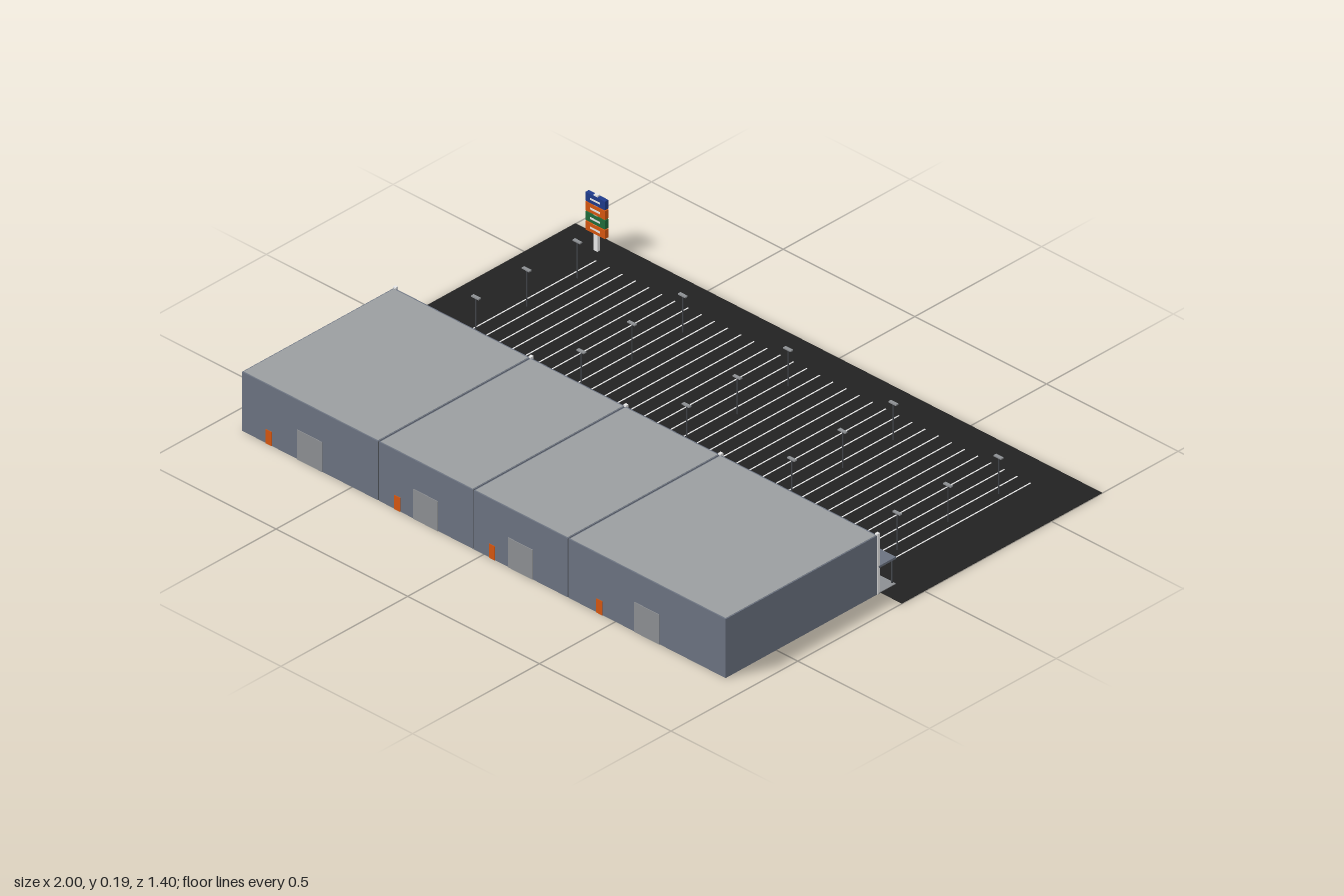
import * as THREE from 'three';

const colour = (name, hex) => {
  const m = new THREE.MeshStandardMaterial({ color: hex });
  m.name = name;
  return m;
};

export function createModel() {
  const wall = colour('slate wall', 0x6b7280);
  const roof = colour('roof grey', 0x9a9ea0);
  const asphalt = colour('asphalt', 0x222222);
  const white = colour('white', 0xeeeeee);
  const glass = colour('glass', 0xa8c8d0);
  const orange = colour('orange', 0xd4560f);
  const green = colour('green', 0x1f6b3a);
  const blue = colour('blue', 0x1e3a8a);
  const metal = colour('dark metal', 0x44474c);
  const concrete = colour('concrete', 0x8c8f92);

  const root = new THREE.Group();
  root.name = 'retailPark';

  // box given by its extents along each axis
  const box = (name, mat, x0, x1, y0, y1, z0, z1, parent = root) => {
    const m = new THREE.Mesh(new THREE.BoxGeometry(x1 - x0, y1 - y0, z1 - z0), mat);
    m.position.set((x0 + x1) / 2, (y0 + y1) / 2, (z0 + z1) / 2);
    m.name = name;
    parent.add(m);
    return m;
  };
  const group = (name) => {
    const g = new THREE.Group();
    g.name = name;
    root.add(g);
    return g;
  };

  // car park with bay lines
  box('carPark', asphalt, -1, 1, 0.0005, 0.002, -0.7, 0.09);
  const lines = group('bayLines');
  for (let i = 0; i < 34; i++) {
    const x = -0.825 + i * 0.05;
    box('bayLine', white, x - 0.002, x + 0.002, 0.002, 0.003, -0.6, -0.01, lines);
  }
  box('pavement', concrete, -0.92, 0.92, 0, 0.004, 0.03, 0.1);

  // four shop units, each with its own sign colour
  const edges = [-0.92, -0.4, -0.04, 0.32, 0.92];
  const signColours = [blue, orange, green, orange];
  signColours.forEach((signMat, i) => {
    const g = group('shopUnit');
    const a = edges[i], b = edges[i + 1], w = b - a, c = (a + b) / 2;
    box('walls', wall, a + 0.0015, b - 0.0015, 0, 0.19, 0.1, 0.7, g);
    box('roofPanel', roof, a + 0.005, b - 0.005, 0.19, 0.191, 0.105, 0.696, g);

    // sign board with a row of plain blocks
    box('signBoard', signMat, c - w * 0.385, c + w * 0.385, 0.107, 0.167, 0.09, 0.1, g);
    const count = Math.round(w * 0.48 / 0.026);
    for (let k = 0; k < count; k++) {
      const x = c + (k - (count - 1) / 2) * 0.026;
      box('signBlock', white, x - 0.01, x + 0.01, 0.128, 0.146, 0.087, 0.09, g);
    }

    // glazed shopfront and entrance
    const panes = Math.round(w / 0.09), step = w * 0.92 / panes;
    for (let k = 0; k < panes; k++) {
      const x = c + (k - (panes - 1) / 2) * step;
      const entrance = k === Math.floor(panes / 2);
      if (entrance) box('entranceFrame', orange, x - step * 0.42, x + step * 0.42, 0.004, 0.072, 0.095, 0.1, g);
      box('window', glass, x - step * 0.36, x + step * 0.36, entrance ? 0.004 : 0.012, 0.067, 0.092, 0.1, g);
    }

    // rear loading door and staff door
    box('loadingDoor', concrete, c - 0.047, c + 0.047, 0, 0.096, 0.7, 0.702, g);
    const d = c - 0.3 * w;
    box('staffDoor', orange, d - 0.011, d + 0.011, 0, 0.045, 0.7, 0.702, g);
  });

  // seams and pilasters at the unit boundaries
  edges.forEach((e, i) => {
    const x = i === 0 ? e + 0.005 : i === 4 ? e - 0.005 : e;
    box('pilaster', white, x - 0.005, x + 0.005, 0, 0.195, 0.093, 0.103);
    if (i > 0 && i < 4) box('seam', metal, e - 0.0015, e + 0.0015, 0.002, 0.189, 0.103, 0.6995);
  });

  // canopy on slim posts
  box('canopy', wall, -0.92, 0.92, 0.083, 0.09, 0.03, 0.1);
  for (let i = 0; i <= 12; i++) {
    const x = -0.91 + i * 1.82 / 12;
    box('canopyPost', metal, x - 0.002, x + 0.002, 0.004, 0.083, 0.033, 0.037);
  }

  // trolley shelters
  for (let i = 0; i < 4; i++) {
    const x = -0.68 + i * 0.1;
    box('trolleyShelter', glass, x - 0.024, x + 0.024, 0.002, 0.048, -0.062, 0.04);
  }

  // lamp posts
  for (const z of [-0.1, -0.3, -0.5]) {
    for (let i = 0; i < 5; i++) {
      const x = -0.8 + i * 0.4;
      const pole = new THREE.Mesh(new THREE.CylinderGeometry(0.002, 0.002, 0.12, 8), metal);
      pole.name = 'lampPole';
      pole.position.set(x, 0.06, z);
      root.add(pole);
      box('lampHead', concrete, x - 0.014, x + 0.014, 0.119, 0.123, z - 0.005, z + 0.005);
    }
  }

  // roadside sign tower
  const tower = group('signTower');
  box('towerPost', white, -0.868, -0.854, 0, 0.183, -0.645, -0.635, tower);
  [orange, green, orange, blue].forEach((mat, i) => {
    const y = 0.057 + i * 0.031;
    box('towerPanel', mat, -0.898, -0.824, y, y + 0.028, -0.647, -0.633, tower);
    for (const z of [-0.648, -0.633]) {
      box('towerPanelStripe', white, -0.88, -0.842, y + 0.011, y + 0.017, z, z + 0.001, tower);
    }
  });
  return root;
}
